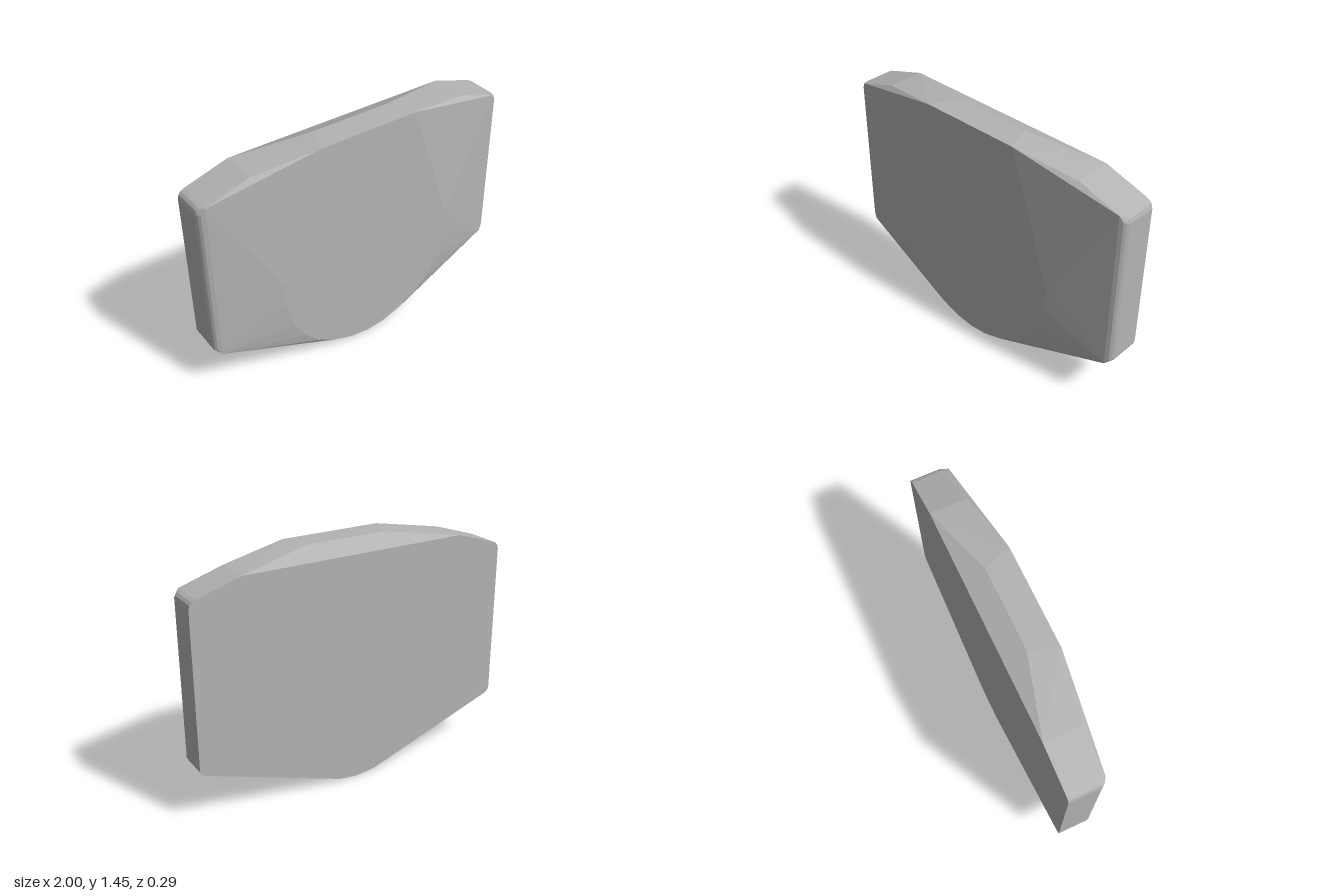
import * as THREE from 'three';
import { ConvexGeometry } from 'three/addons/geometries/ConvexGeometry.js';

const BACK = -0.145, FRONT = 0.145, RIM = 0.075;

export function createModel() {
  const group = new THREE.Group();
  const grey = new THREE.MeshStandardMaterial({ color: 0xb4b4b4 });
  grey.name = 'plain grey';

  const points = [];
  const pair = (x, y, z) => {
    points.push(new THREE.Vector3(x, y, z));
    if (x > 0) points.push(new THREE.Vector3(-x, y, z));
  };

  // rounded bottom tip, shared by back and front faces
  for (const [x, y] of [[0, 0], [0.12, 0.014], [0.25, 0.058]]) {
    pair(x, y, BACK);
    pair(x, y, FRONT);
  }

  // raised front face: flat top edge, curved lower sides
  for (const [x, y] of [[0.31, 1.45], [0.58, 0.66], [0.57, 0.5], [0.525, 0.33], [0.45, 0.21], [0.36, 0.12]])
    pair(x, y, FRONT);

  // top: flat ridge sloping down to the back edge
  pair(0.25, 1.45, -0.02);
  pair(0.7, 1.39, BACK);
  pair(0.7, 1.39, RIM);

  // side walls with rounded corners
  for (const [x, y] of [[1, 1.26], [0.993, 1.285], [0.98, 1.3], [0.96, 1.31],
    [1, 0.345], [0.993, 0.325], [0.98, 0.311], [0.96, 0.302]]) {
    pair(x, y, BACK);
    pair(x, y, 0.035);
  }

  // softened front rim of the side walls
  for (const [x, z] of [[0.993, 0.053], [0.982, 0.066]]) {
    pair(x, 1.27, z);
    pair(x, 0.335, z);
  }
  pair(0.96, 1.308, RIM);
  pair(0.96, 0.303, RIM);

  const body = new THREE.Mesh(new ConvexGeometry(points), grey);
  body.name = 'body';
  group.add(body);
  return group;
}
